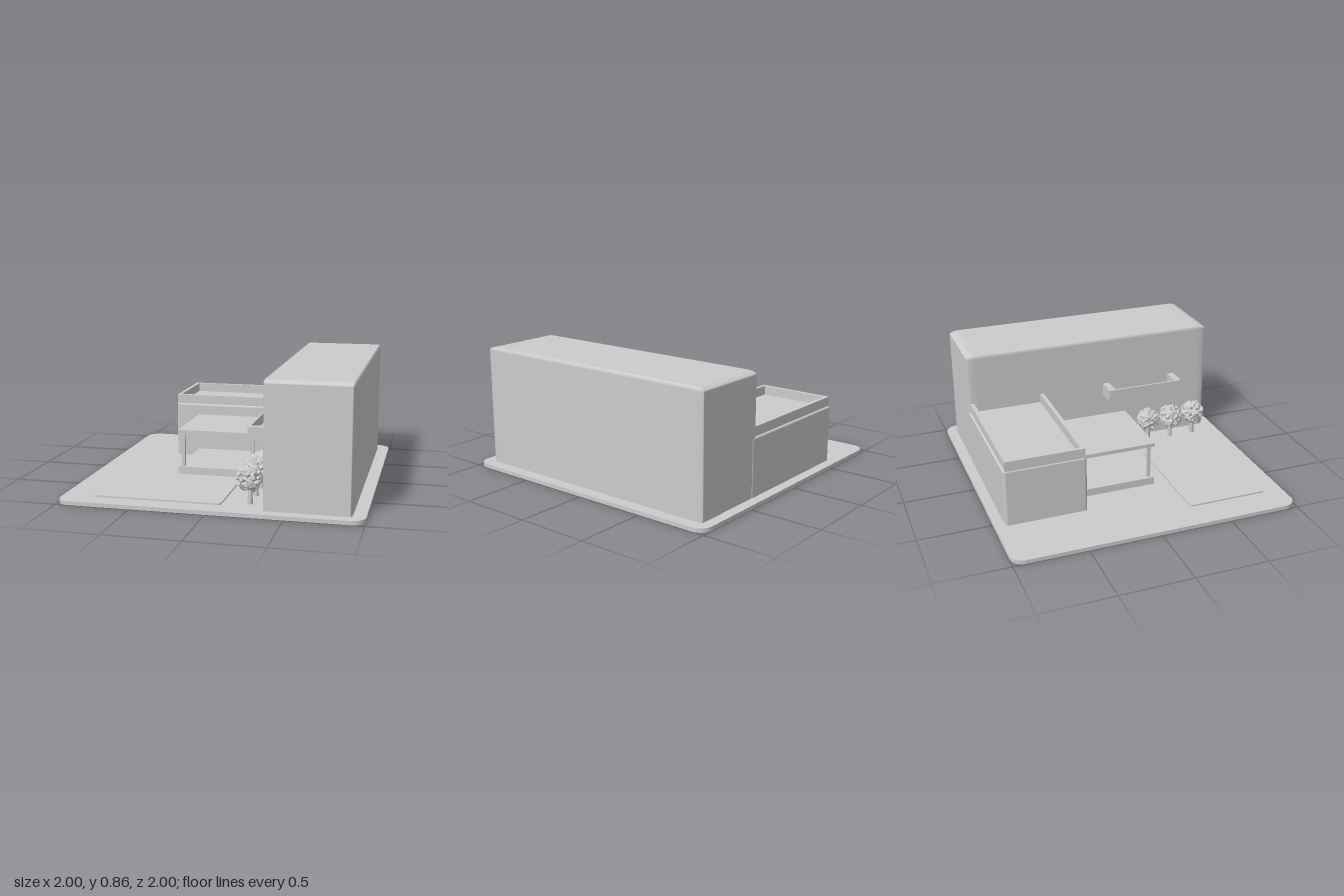
import * as THREE from 'three';
import { RoundedBoxGeometry } from 'three/addons/geometries/RoundedBoxGeometry.js';

const material = new THREE.MeshStandardMaterial({ color: 0xcccccc });
const foliageMaterial = new THREE.MeshStandardMaterial({ color: 0xcccccc, flatShading: true });

function add(parent, name, geometry, mat = material) {
  const mesh = new THREE.Mesh(geometry, mat);
  mesh.name = name;
  parent.add(mesh);
  return mesh;
}

// Box given by its limits on each axis
function box(parent, name, [x0, x1], [y0, y1], [z0, z1]) {
  const mesh = add(parent, name, new THREE.BoxGeometry(x1 - x0, y1 - y0, z1 - z0));
  mesh.position.set((x0 + x1) / 2, (y0 + y1) / 2, (z0 + z1) / 2);
  return mesh;
}

// Soft-edged box with its own rounding on each axis
function softBox(parent, name, [x0, x1], [y0, y1], [z0, z1], [rx, ry, rz]) {
  const geometry = new RoundedBoxGeometry((x1 - x0) / rx, (y1 - y0) / ry, (z1 - z0) / rz, 5, 1);
  geometry.scale(rx, ry, rz);
  const mesh = add(parent, name, geometry);
  mesh.position.set((x0 + x1) / 2, (y0 + y1) / 2, (z0 + z1) / 2);
  return mesh;
}

// Flat slab with rounded plan corners
function slab(parent, name, [x0, x1], [y0, y1], [z0, z1], r) {
  const w = (x1 - x0) / 2, d = (z1 - z0) / 2;
  const shape = new THREE.Shape();
  shape.absarc(w - r, d - r, r, 0, Math.PI / 2);
  shape.absarc(-w + r, d - r, r, Math.PI / 2, Math.PI);
  shape.absarc(-w + r, -d + r, r, Math.PI, Math.PI * 1.5);
  shape.absarc(w - r, -d + r, r, Math.PI * 1.5, Math.PI * 2);
  const geometry = new THREE.ExtrudeGeometry(shape, { depth: y1 - y0, bevelEnabled: false, curveSegments: 8 });
  geometry.rotateX(-Math.PI / 2);
  const mesh = add(parent, name, geometry);
  mesh.position.set((x0 + x1) / 2, y0, (z0 + z1) / 2);
  return mesh;
}

// Ragged leaf ball: each direction gets a repeatable radius
function crownGeometry(radius, seed) {
  const geometry = new THREE.IcosahedronGeometry(1, 5);
  const p = geometry.attributes.position;
  const v = new THREE.Vector3();
  for (let i = 0; i < p.count; i++) {
    v.fromBufferAttribute(p, i).normalize();
    const key = Math.round(v.x * 500) * 12.9898 + Math.round(v.y * 500) * 78.233
      + Math.round(v.z * 500) * 37.719 + seed * 17.3;
    const noise = Math.abs(Math.sin(key) * 43758.5453) % 1;
    const lumps = Math.sin(v.x * 7 + seed) * Math.sin(v.y * 8) * Math.sin(v.z * 7 + 1);
    v.multiplyScalar(radius * (0.76 + 0.24 * noise + 0.12 * lumps));
    p.setXYZ(i, v.x, v.y, v.z);
  }
  geometry.computeVertexNormals();
  return geometry;
}

export function createModel() {
  const house = new THREE.Group();
  house.name = 'house';

  // Plot and raised pad in the garden
  slab(house, 'ground', [-1, 1], [0, 0.027], [-1, 1], 0.09);
  slab(house, 'gardenPad', [-0.785, 0.07], [0.02, 0.037], [0.298, 0.865], 0.025);

  // Tall block and low wing
  softBox(house, 'mainBlock', [0.35, 0.917], [0.002, 0.858], [-0.927, 0.925], [0.015, 0.025, 0.07]);
  softBox(house, 'wing', [-0.58, 0.4], [0.002, 0.43], [-0.93, -0.362], [0.02, 0.015, 0.02]);

  // Parapet round the wing roof
  const parapet = new THREE.Group();
  parapet.name = 'parapet';
  house.add(parapet);
  box(parapet, 'parapetBack', [-0.575, 0.36], [0.42, 0.494], [-0.918, -0.89]);
  box(parapet, 'parapetFront', [-0.575, 0.36], [0.42, 0.494], [-0.4, -0.372]);
  box(parapet, 'parapetSide', [-0.575, -0.548], [0.42, 0.494], [-0.89, -0.4]);

  // Porch: floor, roof and front posts
  const porch = new THREE.Group();
  porch.name = 'porch';
  house.add(porch);
  box(porch, 'porchFloor', [-0.407, 0.155], [0.02, 0.08], [-0.38, 0.193]);
  box(porch, 'porchRoof', [-0.407, 0.155], [0.322, 0.348], [-0.38, 0.193]);
  for (const x of [-0.375, 0.127]) {
    box(porch, 'porchPost', [x - 0.011, x + 0.011], [0.075, 0.325], [0.15, 0.172]);
  }

  // Balcony on the inner wall of the tall block
  const balcony = new THREE.Group();
  balcony.name = 'balcony';
  house.add(balcony);
  box(balcony, 'balconyFloor', [0.205, 0.36], [0.412, 0.435], [0.09, 0.665]);
  box(balcony, 'balconyRail', [0.203, 0.217], [0.412, 0.502], [0.09, 0.665]);
  for (const z of [0.09, 0.615]) {
    box(balcony, 'balconyEnd', [0.217, 0.36], [0.435, 0.502], [z, z + 0.05]);
  }

  // Row of trees
  [0.42, 0.605, 0.79].forEach((z, i) => {
    const tree = new THREE.Group();
    tree.name = 'tree';
    tree.position.set(0.248, 0, z);
    add(tree, 'trunk', new THREE.CylinderGeometry(0.014, 0.017, 0.16, 10)).position.y = 0.1;
    add(tree, 'crown', crownGeometry(0.092, i + 1), foliageMaterial).position.set(-0.005, 0.2, 0);
    house.add(tree);
  });

  return house;
}
